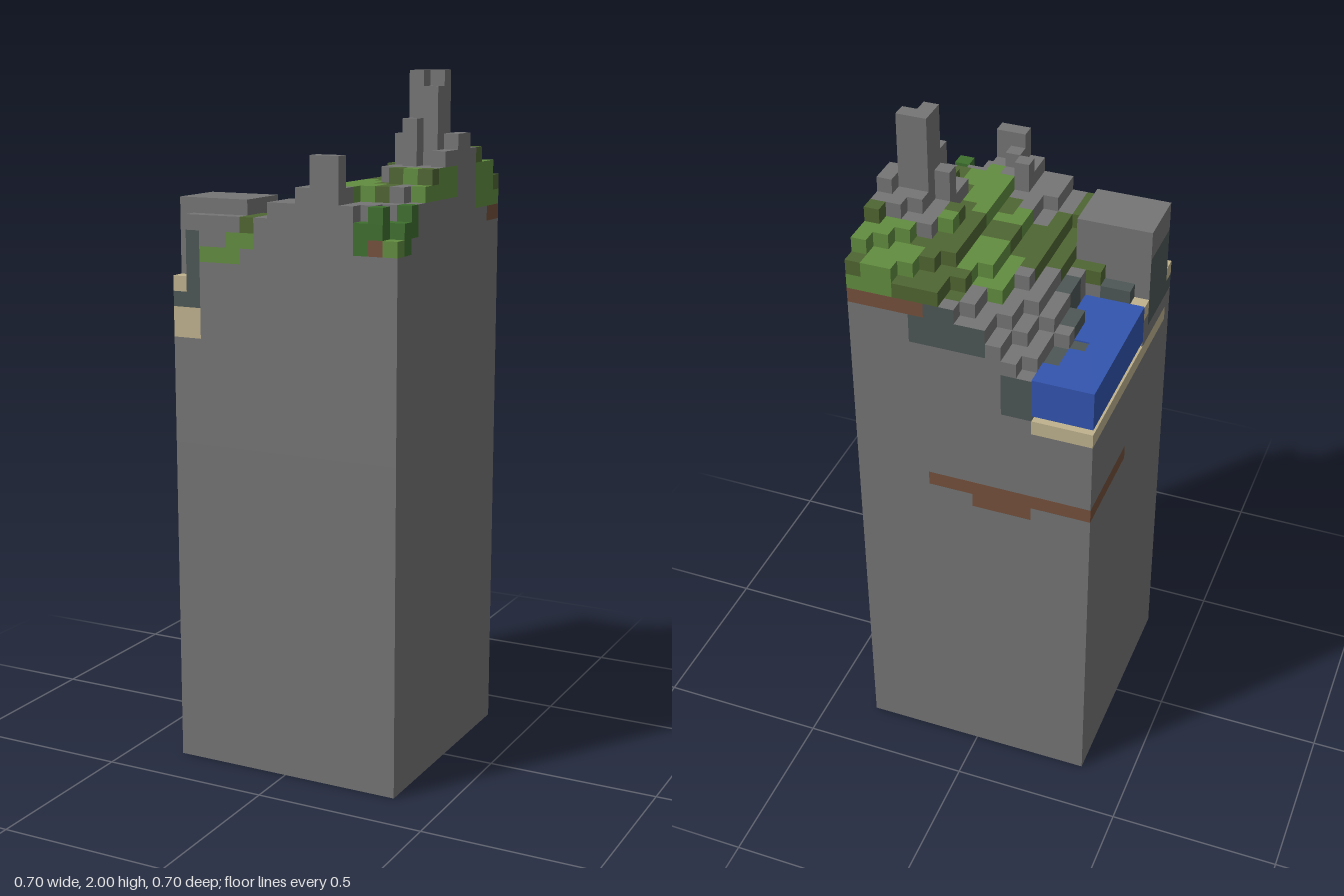
import * as THREE from 'three';
import { mergeGeometries } from 'three/addons/utils/BufferGeometryUtils.js';

const N = 16;            // cells per side
const U = 2 / 46;        // size of one block
const BASE = 22;         // height of the plain lower rock, in blocks
const edge = (k) => (k - N / 2) * U;

// Rolling ground: heights in blocks at every fifth cell, west to east, back to front
const ground = [[30, 34, 38, 39], [31, 36, 39, 42], [33, 36, 39, 40], [37, 37, 39, 36]];

// Spire and single raised or lowered columns: column, row, height
const spikes = [
  [13, 6, 46], [14, 6, 46], [13, 7, 46], [14, 7, 45], [13, 8, 43], [12, 7, 42],
  [10, 15, 41], [11, 15, 41], [10, 14, 40], [9, 13, 40], [14, 15, 38], [0, 15, 33], [2, 4, 33],
];

// Pond width in cells for each row from the back
const pondWidths = [4, 4, 3, 3, 2, 3, 3, 4, 4, 4];

// Bright grass blobs: column, row, radius
const meadows = [
  [13.5, 1.5, 1.8], [8, 4.5, 1.9], [11, 11.5, 1.6], [10, 9, 1.1],
  [8, 9.5, 0.6], [11, 5, 0.5], [14, 10, 0.5], [15, 11, 0.5],
];

// Cut sides: direction, and seams as kind, first and last cell, lowest and highest level
const sides = [
  { dx: 1, dz: 0, seams: [['dirt', 0, 1, 36], ['grass', 0, 3, 37, 40], ['grass', 7, 10, 38, 39]] },
  { dx: -1, dz: 0, seams: [['dirt', 0, 6, 23], ['sand', 10, 14, 29], ['gravel', 11, 15, 31, 35]] },
  { dx: 0, dz: 1, seams: [['sand', 0, 1, 29, 30], ['gravel', 0, 1, 31, 35],
    ['grass', 2, 4, 34], ['grass', 4, 5, 35], ['dirt', 14, 14, 35]] },
  { dx: 0, dz: -1, seams: [['dirt', 11, 15, 36], ['dirt', 0, 10, 23], ['dirt', 4, 7, 22],
    ['grass', 12, 15, 37, 40], ['gravel', 4, 5, 30, 32], ['gravel', 7, 11, 34, 36]] },
];

function groundHeight(i, j) {
  const spike = spikes.find(([x, z]) => x === i && z === j);
  if (spike) return spike[2];
  if (i < pondWidths[j]) return 30;
  if (i < 5 && j > 10 && j < 15) return 38;           // cliff beside the pond
  const a = Math.min(2, Math.floor(i / 5)), b = Math.min(2, Math.floor(j / 5));
  const across = (row) => THREE.MathUtils.lerp(row[a], row[a + 1], i / 5 - a);
  return Math.round(THREE.MathUtils.lerp(across(ground[b]), across(ground[b + 1]), j / 5 - b));
}

function isGreen(i, j) {
  if (j < 4) return i >= 9.5 - j / 2;
  if (j < 10) return i >= 9 - j / 2 && i < 12;
  if (j === 10) return i > 2;
  return i === 5 || (j < 13 && (i === 6 || (i >= j - 2 && i < 14)));
}

// Kind of the top layer of a column
function coverKind(i, j) {
  if (i < pondWidths[j] || (i === 0 && (j === 10 || j === 15))) return 'sand';
  if (j > 1 && j < 9 && i === pondWidths[j]) return 'gravel';
  if (j === 10 && i < 3) return 'gravel';
  if (i + j === 2 * N - 2) return 'grass';
  if (i + j > 27) return 'leaves';
  if (meadows.some(([x, z, r]) => Math.hypot(i - x, j - z) <= r)) return 'grass';
  return isGreen(i, j) ? 'mossyGrass' : 'stone';
}

function material(name, color) {
  const m = new THREE.MeshStandardMaterial({ color });
  m.name = name;
  return m;
}

export function createModel() {
  const model = new THREE.Group();
  const add = (name, geometry, mat) => {
    const mesh = new THREE.Mesh(geometry, mat);
    mesh.name = name;
    model.add(mesh);
  };
  const materials = {
    stone: material('stone grey', 0x757575),
    gravel: material('slate', 0x4d5756),
    mossyGrass: material('olive', 0x506632),
    grass: material('light green', 0x628d40),
    leaves: material('dark green', 0x3e702e),
    sand: material('pale sand', 0xbfb28e),
    dirt: material('brown', 0x75503b),
  };

  // Terrain: only the exposed block faces, sorted by kind
  const inside = (i, j) => i >= 0 && i < N && j >= 0 && j < N;
  const faces = Object.fromEntries(Object.keys(materials).map((k) => [k, []]));
  for (let j = 0; j < N; j++) {
    for (let i = 0; i < N; i++) {
      const top = groundHeight(i, j), cover = coverKind(i, j);
      const depth = cover === 'leaves' || cover === 'gravel' ? 2 : 1;
      const x = edge(i + 0.5), z = edge(j + 0.5);
      faces[cover].push(
        new THREE.PlaneGeometry(U, U).rotateX(-Math.PI / 2).translate(x, top * U, z));
      for (const { dx, dz, seams } of sides) {
        const inner = inside(i + dx, j + dz);
        const along = dx ? j : i;
        for (let y = inner ? groundHeight(i + dx, j + dz) : BASE; y < top; y++) {
          const seam = !inner && seams.find(([, from, to, low, high = low]) =>
            along >= from && along <= to && y >= low && y <= high);
          const kind = y >= top - depth && cover !== 'stone' ? cover : seam ? seam[0] : 'stone';
          faces[kind].push(new THREE.PlaneGeometry(U, U).rotateY(Math.atan2(dx, dz))
            .translate(x + dx * U / 2, (y + 0.5) * U, z + dz * U / 2));
        }
      }
    }
  }
  for (const kind in materials) add(kind, mergeGeometries(faces[kind]), materials[kind]);

  // Plain rock below the terrain
  add('lowerRock', new THREE.BoxGeometry(N * U, BASE * U, N * U).translate(0, BASE * U / 2, 0),
    materials.stone);

  // Pond with a stepped shore in the back corner
  const shore = pondWidths.flatMap((w, j) => [[w, j], [w, j + 1]]);
  const outline = new THREE.Shape([[0, 0], ...shore, [0, pondWidths.length]]
    .map(([i, j]) => new THREE.Vector2(edge(i), -edge(j))));
  add('pond', new THREE.ExtrudeGeometry(outline, { depth: 2.7 * U, bevelEnabled: false })
    .rotateX(-Math.PI / 2).translate(0, 30.4 * U, 0), material('water blue', 0x3355b0));

  return model;
}
